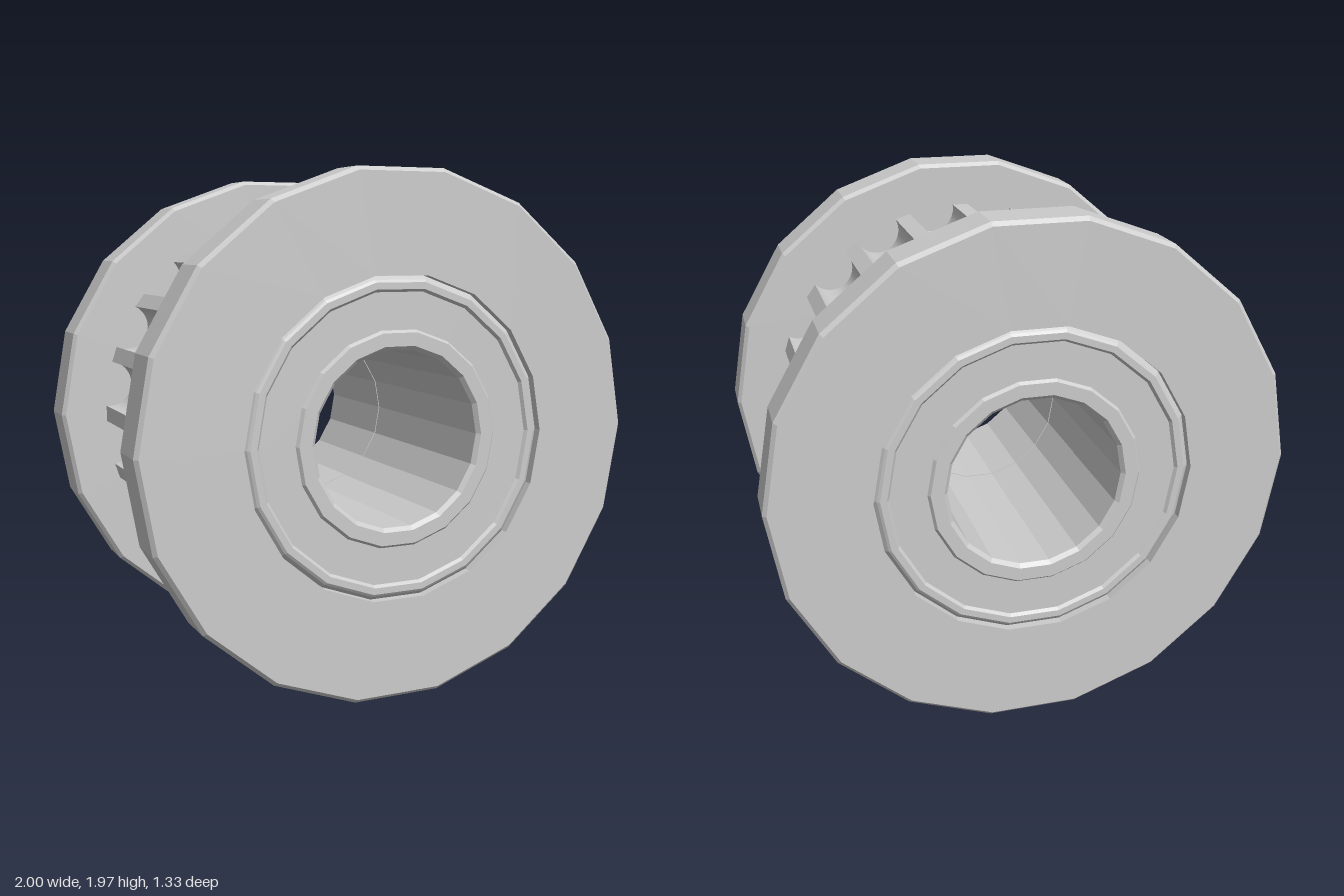
import * as THREE from 'three';
import { toCreasedNormals } from 'three/addons/utils/BufferGeometryUtils.js';

const SIDES = 18, TEETH = 20, CENTER_Y = 0.985;
const faceted = new THREE.MeshStandardMaterial({ color: 0xcccccc, flatShading: true });
const smooth = new THREE.MeshStandardMaterial({ color: 0xcccccc });

// Ring turned around the z axis from a closed [radius, z] profile
function ring(name, profile) {
  const points = [...profile, profile[0]].map(([r, z]) => new THREE.Vector2(r, z));
  const geometry = new THREE.LatheGeometry(points, SIDES, Math.PI / 2);
  geometry.rotateX(Math.PI / 2);
  const mesh = new THREE.Mesh(geometry, faceted);
  mesh.name = name;
  return mesh;
}

// Toothed drum: narrow lands separated by half-round grooves
function toothedDrum() {
  const radius = 0.812, landHalf = 0.04, pitch = 2 * Math.PI / TEETH;
  const grooveHalf = pitch / 2 - landHalf;
  const grooveRadius = radius * Math.sin(grooveHalf);
  const grooveCenter = radius * Math.cos(grooveHalf);
  const shape = new THREE.Shape();
  for (let i = 0; i < TEETH; i++) {
    const land = i * pitch - landHalf, mid = (i + 0.5) * pitch;
    const x = radius * Math.cos(land), y = radius * Math.sin(land);
    if (i === 0) shape.moveTo(x, y);
    shape.absarc(grooveCenter * Math.cos(mid), grooveCenter * Math.sin(mid),
      grooveRadius, mid - Math.PI / 2, mid - 1.5 * Math.PI, true);
  }
  shape.closePath();
  shape.holes.push(new THREE.Path().absarc(0, 0, 0.6, 0, 2 * Math.PI, true));
  const geometry = new THREE.ExtrudeGeometry(shape, { depth: 1, bevelEnabled: false, curveSegments: 10 });
  geometry.translate(0, 0, -0.5);
  const mesh = new THREE.Mesh(toCreasedNormals(geometry, 0.6), smooth);
  mesh.name = 'toothedDrum';
  return mesh;
}

// Flange and bearing for one end
function endAssembly(name) {
  const end = new THREE.Group();
  end.name = name;
  end.add(ring('flange', [
    [0.61, 0.47], [0.985, 0.47], [1, 0.485], [1, 0.65], [0.985, 0.665], [0.61, 0.665],
  ]));
  end.add(ring('bearing', [
    [0.335, 0.17], [0.608, 0.17], [0.608, 0.635], [0.595, 0.65], [0.585, 0.657], [0.56, 0.657],
    [0.55, 0.645], [0.41, 0.645], [0.4, 0.657], [0.35, 0.657], [0.335, 0.642],
  ]));
  return end;
}

export function createModel() {
  const model = new THREE.Group();
  model.name = 'beltPulley';
  const pulley = new THREE.Group();
  pulley.name = 'pulley';
  pulley.position.y = CENTER_Y;
  model.add(pulley);

  pulley.add(toothedDrum());
  const front = endAssembly('frontEnd'), back = endAssembly('backEnd');
  back.rotation.y = Math.PI;
  pulley.add(front, back);

  // Spacer between the bearings
  pulley.add(ring('spacer', [[0.338, -0.17], [0.6, -0.17], [0.6, 0.17], [0.338, 0.17]]));
  return model;
}
